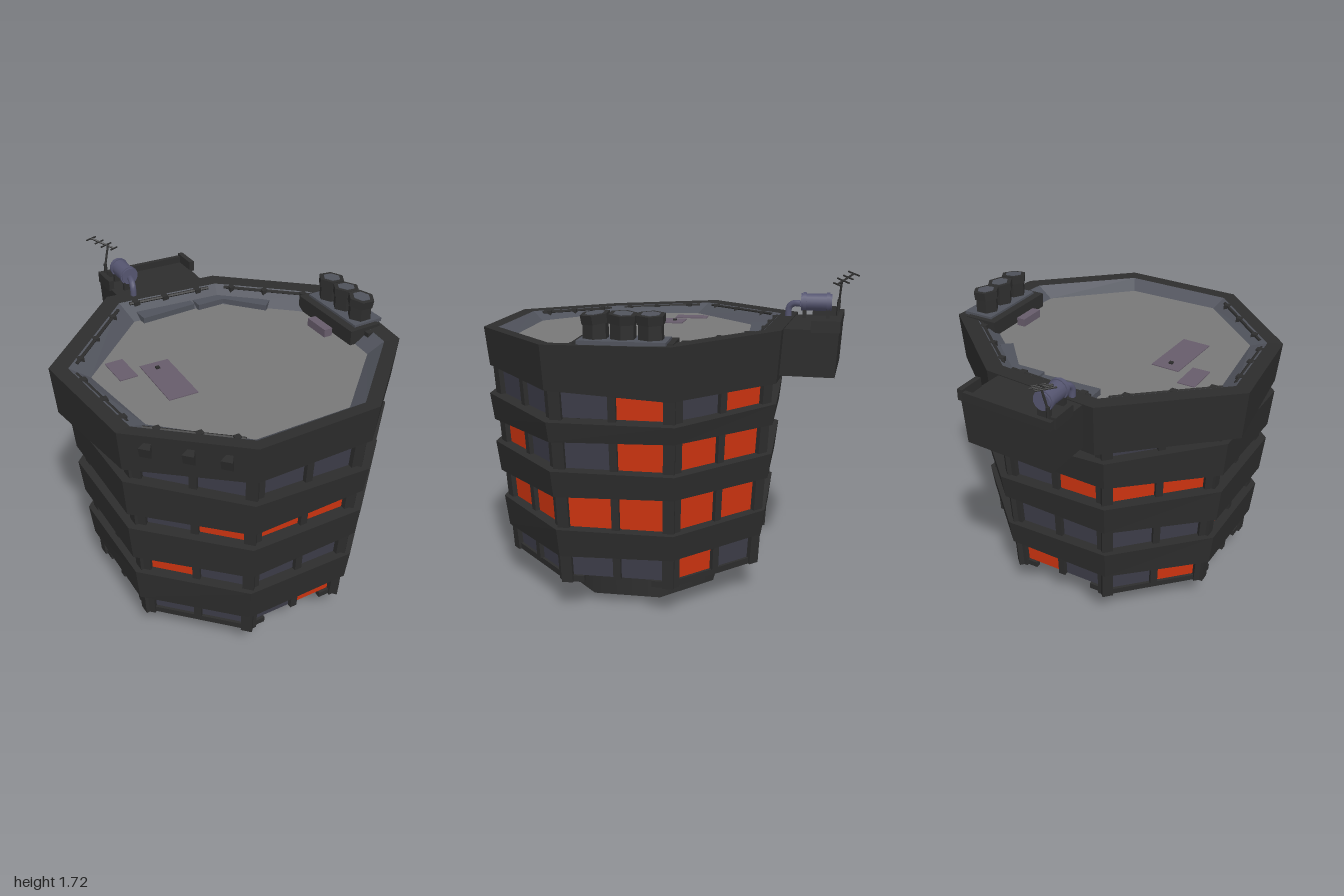
import * as THREE from 'three';

const mat = (color, flatShading = true) =>
  new THREE.MeshStandardMaterial({ color, flatShading, side: THREE.DoubleSide });
const DARK = mat(0x2d2d2d), SMOOTH = mat(0x2d2d2d, false), GLASS = mat(0x3d3d49), LIT = mat(0xcf3410);
const DECK = mat(0x787878), RIM = mat(0x50535c), PURPLE = mat(0x675c6b), TANK = mat(0x555570, false);
const CZ = 0.2; // tower axis

function add(parent, name, geo, material, x = 0, y = 0, z = 0) {
  const m = new THREE.Mesh(geo, material);
  m.name = name;
  m.position.set(x, y, z);
  parent.add(m);
  return m;
}
const box = (p, name, m, w, h, d, x, y, z) => add(p, name, new THREE.BoxGeometry(w, h, d), m, x, y, z);

// Skin between closed rings of [x, y, z] points
function loft(rings) {
  const pos = [];
  for (let r = 0; r < rings.length - 1; r++) {
    const lo = rings[r], hi = rings[r + 1], n = lo.length;
    for (let i = 0; i < n; i++) {
      const j = (i + 1) % n;
      pos.push(...lo[i], ...lo[j], ...hi[j], ...lo[i], ...hi[j], ...hi[i]);
    }
  }
  const g = new THREE.BufferGeometry();
  g.setAttribute('position', new THREE.Float32BufferAttribute(pos, 3));
  g.computeVertexNormals();
  return g;
}

// Octagon, slightly shallower in z; y tilts along x and z
function octagon(apothem, y, tiltX = 0, tiltZ = 0) {
  const r = apothem / Math.cos(Math.PI / 8);
  return Array.from({ length: 8 }, (_, i) => {
    const a = (i + 0.5) * Math.PI / 4, x = r * Math.sin(a), z = 0.975 * r * Math.cos(a);
    return [x, y + tiltX * x + tiltZ * z, CZ + z];
  });
}

// Cylinder between two points
function rod(parent, name, a, b, radius, material, sides = 6) {
  const A = new THREE.Vector3(...a), B = new THREE.Vector3(...b), d = B.clone().sub(A);
  const m = add(parent, name, new THREE.CylinderGeometry(radius, radius, d.length(), sides), material);
  m.position.copy(A).add(B).multiplyScalar(0.5);
  m.quaternion.setFromUnitVectors(new THREE.Vector3(0, 1, 0), d.normalize());
  return m;
}

function buildTower(model) {
  const base = new THREE.CylinderGeometry(0.485, 0.497, 0.22, 8, 1, true, Math.PI / 8).scale(1, 1, 0.97);
  add(model, 'baseRing', base, SMOOTH, 0.005, 0.11, CZ);

  // Window rows: bottom, top, and lit panes as face * 2 + pane
  const rows = [
    [0.205, 0.36, [1, 6, 8, 11, 13]],
    [0.47, 0.69, [14, 2, 3, 4, 5, 6, 7, 12]],
    [0.79, 0.98, [15, 0, 1, 2, 5, 6, 7, 9, 10, 11]],
    [1.08, 1.25, [5, 7]],
  ];
  const Y0 = 0.17, H = 1.08;
  for (let k = 0; k < 8; k++) {
    const face = new THREE.Group();
    face.name = 'facade';
    face.position.z = CZ;
    face.rotation.y = k * Math.PI / 4;
    model.add(face);
    const wall = new THREE.Group();
    wall.name = 'leaningWall';
    wall.position.set(0, Y0, k % 4 === 0 ? 0.655 : k % 2 ? 0.667 : 0.675);
    wall.rotation.x = 0.06;
    face.add(wall);
    for (const [lo, hi, lit] of rows) for (const p of [0, 1]) {
      add(wall, 'window', new THREE.PlaneGeometry(0.25, hi - lo), lit.includes(k * 2 + p) ? LIT : GLASS,
        p ? 0.135 : -0.135, (lo + hi) / 2 - Y0, 0);
    }
    box(wall, 'middlePier', DARK, 0.04, H - 0.035, 0.04, 0, H / 2 + 0.0175, 0.005);
    for (const s of [-1, 1]) {
      box(wall, 'cornerPier', DARK, 0.06, H, 0.05, s * 0.28, H / 2, 0.003).rotation.z = -s * 0.02;
      // Sills run full width on the diagonal faces, only at the corners elsewhere
      const w = k % 2 ? 0.28 : 0.1;
      box(wall, 'sill', DARK, w, 0.035, 0.03, s * (0.28 - w / 2), 0.018, 0);
    }
  }

  // Projecting bands: bottom, top, apothems, tilts
  for (const [lo, hi, a, b, tl, th] of [
    [0.325, 0.495, 0.735, 0.755, 0.015, -0.015],
    [0.65, 0.82, 0.765, 0.785, 0.03, -0.015],
    [0.95, 1.105, 0.785, 0.803, 0.025, -0.045],
  ]) {
    add(model, 'balconyBand', loft([octagon(a - 0.08, lo, tl, -0.022), octagon(a, lo, tl, -0.022),
      octagon(b, hi, th), octagon(b - 0.09, hi, th)]), DARK);
  }
}

function buildRoof(model) {
  const plan = [[0.35, 0.99], [0.84, 0.53], [0.89, -0.12], [0.34, -0.6],
    [-0.32, -0.66], [-0.89, -0.12], [-0.82, 0.53], [-0.33, 0.99]];
  const top = [1.46, 1.465, 1.48, 1.48, 1.48, 1.46, 1.435, 1.455];
  const bottom = [1.25, 1.235, 1.21, 1.2, 1.2, 1.19, 1.21, 1.245];
  const ring = (s, y, dz = 0) => plan.map(([x, z], i) => [x * s, y(i), CZ + dz + (z - CZ) * s]);
  const rim = ring(0.9, i => top[i] - 0.005, 0.01), edge = ring(0.79, () => 1.4, 0.03);
  add(model, 'parapet', loft([octagon(0.72, 1.24), ring(0.975, i => bottom[i]), ring(1, i => top[i]), rim]), DARK);
  add(model, 'innerSlope', loft([rim, edge]), RIM);
  add(model, 'deck', loft([edge, edge.map(() => [0, 1.4, CZ])]), DECK);

  // Pipe and brackets around the inner parapet
  const rail = ring(0.88, i => top[i] - 0.015, 0.01);
  for (const i of [1, 2, 3, 4, 5, 6]) {
    const a = new THREE.Vector3(...rail[i]), b = new THREE.Vector3(...rail[(i + 1) % 8]);
    const at = t => a.clone().lerp(b, t);
    if (i !== 1) rod(model, 'parapetPipe', at(0.08).toArray(), at(0.92).toArray(), 0.01, DARK);
    for (const t of [0.2, 0.55, 0.85]) {
      const p = at(t);
      box(model, 'pipeBracket', DARK, 0.035, 0.05, 0.035, p.x, p.y - 0.015, p.z);
    }
  }

  // Hatches and low ducts on the deck
  box(model, 'smallHatch', PURPLE, 0.1, 0.006, 0.19, -0.54, 1.402, -0.01);
  box(model, 'largeHatch', PURPLE, 0.16, 0.006, 0.36, -0.37, 1.402, 0.19).rotation.y = -0.04;
  box(model, 'hatchHandle', DARK, 0.02, 0.015, 0.02, -0.37, 1.407, 0.07);
  box(model, 'sideCabinet', PURPLE, 0.05, 0.05, 0.16, 0.595, 1.42, 0.15);
  box(model, 'duct', RIM, 0.33, 0.035, 0.09, -0.05, 1.415, -0.455).rotation.y = 0.04;
  box(model, 'duct', RIM, 0.18, 0.035, 0.09, 0.22, 1.415, -0.435);
  box(model, 'duct', RIM, 0.07, 0.035, 0.3, 0.39, 1.415, -0.33).rotation.y = 0.72;

  // Vent stacks on their plinth
  box(model, 'ventPlinth', DARK, 0.19, 0.085, 0.49, 0.735, 1.44, 0.125);
  box(model, 'ventTray', RIM, 0.18, 0.02, 0.43, 0.775, 1.485, 0.125);
  const hex = (rTop, rBottom, h) => new THREE.CylinderGeometry(rTop, rBottom, h, 6, 1, false, Math.PI / 6);
  for (const [z, lean] of [[-0.005, 0], [0.13, -0.05], [0.265, 0.1]]) {
    add(model, 'ventStack', hex(0.064, 0.066, 0.1), DARK, 0.77, 1.54, z);
    const collar = add(model, 'ventCollar', hex(0.075, 0.073, 0.045), DARK, 0.77, 1.592, z);
    collar.rotation.set(lean, 0, -0.08);
    add(collar, 'ventCap', hex(0.05, 0.05, 0.01), RIM, 0, 0.02, 0);
  }

  // Floodlights on the front right parapet
  for (const [x, z] of [[-0.71, 0.63], [-0.56, 0.775], [-0.43, 0.9]]) {
    const lamp = new THREE.Group();
    lamp.name = 'floodlight';
    lamp.position.set(x, 1.375, z);
    lamp.rotation.y = -0.82;
    model.add(lamp);
    box(lamp, 'lampArm', DARK, 0.025, 0.025, 0.08, 0, 0.01, -0.03);
    add(lamp, 'lampHead', new THREE.CylinderGeometry(0.042, 0.024, 0.05, 4, 1, false, Math.PI / 4),
      DARK, 0, 0, 0.015).rotation.x = 1.85;
  }
}

function buildRearPlatform(model) {
  const plan = [[0.26, -0.56], [0.28, -0.89], [-0.25, -0.92], [-0.26, -0.56]];
  const ring = (s, y) => plan.map(([x, z]) => [x * s, y, -0.56 + (z + 0.56) * s]);
  const up = ring(1, 1.475);
  add(model, 'rearPlatform', loft([ring(0, 1.22), ring(0.96, 1.225), up, up.map(() => [0, 1.475, -0.72])]), DARK);
  box(model, 'platformBackLip', DARK, 0.54, 0.045, 0.025, 0.015, 1.49, -0.895).rotation.y = -0.055;
  for (const x of [-0.25, 0.28]) box(model, 'platformSideLip', DARK, 0.03, 0.06, 0.15, x, 1.495, -0.82);

  // Tank with end rings, saddle and bent feed pipe
  add(model, 'tank', new THREE.CylinderGeometry(0.048, 0.048, 0.17, 14), TANK, -0.16, 1.56, -0.765).rotation.x = Math.PI / 2;
  for (const z of [-0.7, -0.83]) {
    add(model, 'tankRing', new THREE.CylinderGeometry(0.054, 0.054, 0.018, 14), TANK, -0.16, 1.56, z).rotation.x = Math.PI / 2;
    box(model, 'tankSaddle', DARK, 0.07, 0.06, 0.02, -0.16, 1.5, z);
  }
  const bend = new THREE.CatmullRomCurve3([[-0.16, 1.55, -0.68], [-0.17, 1.55, -0.64],
    [-0.175, 1.53, -0.615], [-0.175, 1.46, -0.61]].map(p => new THREE.Vector3(...p)));
  add(model, 'feedPipe', new THREE.TubeGeometry(bend, 12, 0.018, 8), TANK);

  // Aerial: mast, boom and cross elements
  rod(model, 'mast', [-0.22, 1.48, -0.885], [-0.22, 1.57, -0.89], 0.01, DARK);
  rod(model, 'mast', [-0.22, 1.56, -0.89], [-0.19, 1.68, -0.9], 0.006, DARK);
  const a = new THREE.Vector3(-0.265, 1.71, -0.965), b = new THREE.Vector3(-0.165, 1.66, -0.875);
  rod(model, 'aerialBoom', a.toArray(), b.toArray(), 0.006, DARK);
  for (const [t, h] of [[0, 0.05], [0.35, 0.045], [0.65, 0.055], [1, 0.035]]) {
    const c = a.clone().lerp(b, t), d = new THREE.Vector3(0.8, -0.15, -0.58).multiplyScalar(h);
    rod(model, 'aerialElement', c.clone().sub(d).toArray(), c.clone().add(d).toArray(), 0.005, DARK);
  }
}

export function createModel() {
  const model = new THREE.Group();
  model.name = 'roundTower';
  buildTower(model);
  buildRoof(model);
  buildRearPlatform(model);
  return model;
}
